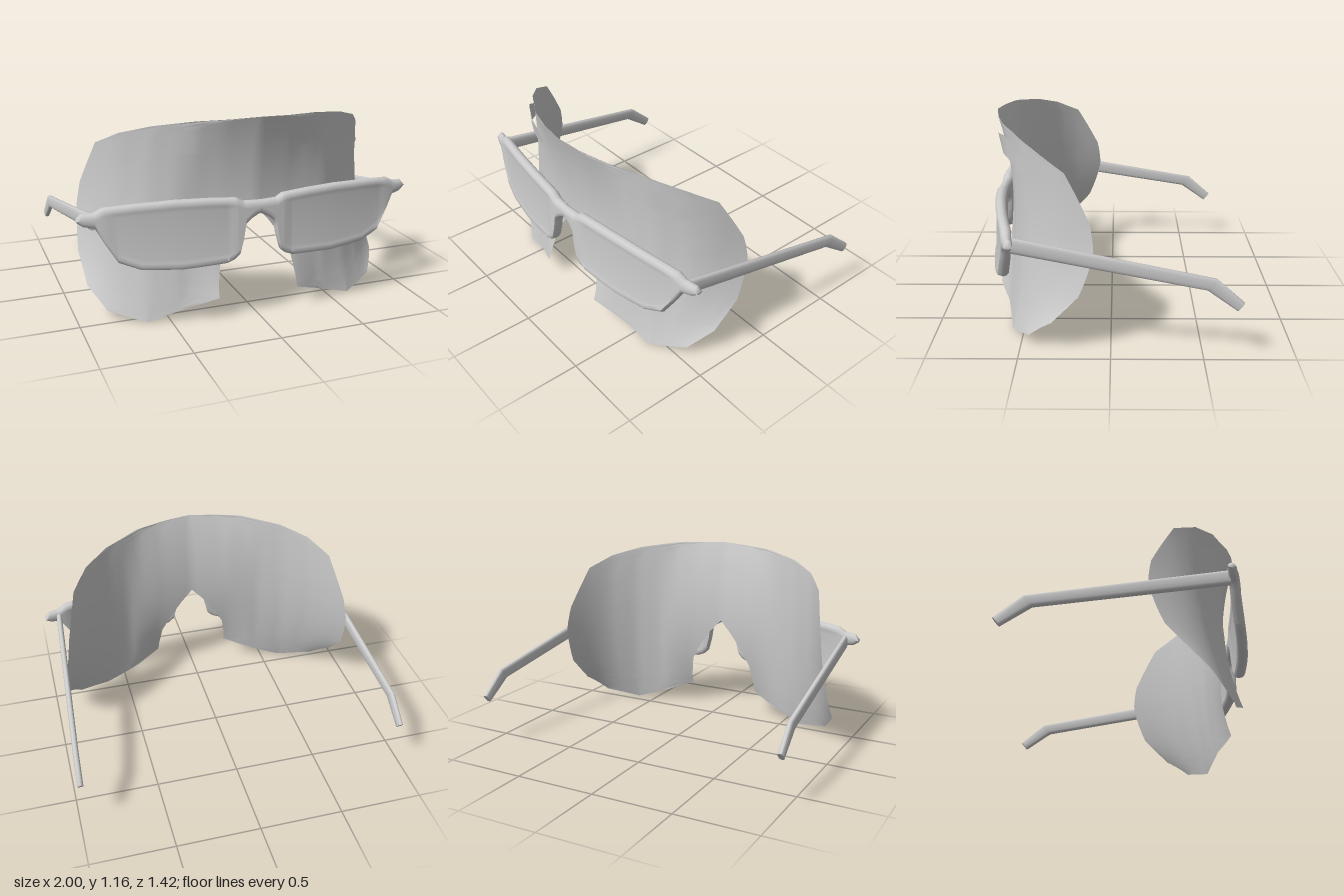
import * as THREE from 'three';
import { toCreasedNormals } from 'three/addons/utils/BufferGeometryUtils.js';

const solid = new THREE.MeshStandardMaterial({ color: 0xcccccc });
const sheet = new THREE.MeshStandardMaterial({ color: 0xcccccc, side: THREE.DoubleSide });

// Piecewise linear lookup in a table of [key, value] pairs
function lookup(table, k) {
  if (k <= table[0][0]) return table[0][1];
  for (let i = 1; i < table.length; i++) {
    const [k0, v0] = table[i - 1], [k1, v1] = table[i];
    if (k <= k1) return v0 + (v1 - v0) * (k - k0) / (k1 - k0);
  }
  return table[table.length - 1][1];
}

// Insert the midpoint between neighbouring values
const withMidpoints = keys => keys.flatMap((k, i) => i ? [(k + keys[i - 1]) / 2, k] : [k]);

// Surface through a grid of points; point(i, j) returns [x, y, z]
function grid(rows, cols, point) {
  const pos = [], idx = [];
  for (let i = 0; i < rows; i++) for (let j = 0; j < cols; j++) pos.push(...point(i, j));
  for (let i = 0; i < rows - 1; i++) for (let j = 0; j < cols - 1; j++) {
    const a = i * cols + j, b = a + 1, c = a + cols, d = c + 1;
    idx.push(a, b, d, a, d, c);
  }
  const g = new THREE.BufferGeometry();
  g.setAttribute('position', new THREE.Float32BufferAttribute(pos, 3));
  g.setIndex(idx);
  g.computeVertexNormals();
  return g;
}

// Add a part and its mirror image
function addPair(group, geometry, material, name) {
  for (const s of [1, -1]) {
    const m = new THREE.Mesh(geometry, material);
    m.name = (s > 0 ? 'left' : 'right') + name;
    m.scale.x = s;
    group.add(m);
  }
}

// Depth of the face sheet: cheek, eye and forehead curves, blended by a parabola in y
const cheek = [[0, .73], [.24, .71], [.4, .617], [.63, .555], [.83, .46], [.92, .43], [.93, .4]];
const eye = [[0, .62], [.2, .595], [.45, .552], [.6, .485], [.75, .365], [.82, .275], [.88, .165], [.915, .09], [.93, .06]];
const forehead = [[0, .675], [.2, .65], [.35, .61], [.57, .5], [.72, .385], [.82, .255], [.915, .09]];
function faceZ(x, y) {
  const t = (y - .05) / 1.05;
  return lookup(cheek, x) * (t - .5) * (t - 1) * 2 + lookup(eye, x) * t * (1 - t) * 4
    + lookup(forehead, x) * t * (t - .5) * 2;
}

function faceSheet() {
  const outer = [[0, .63], [.055, .83], [.17, .915], [.33, .93], [.57, .915], [.73, .89],
    [.985, .82], [1.06, .72], [1.11, .57], [1.145, .35], [1.16, 0]];
  const inner = [[0, .63], [.075, .4], [.135, .24], [.2, .237], [.33, .215], [.45, .15], [.55, .075], [.63, 0]];
  const ys = withMidpoints([0, .055, .075, .135, .17, .2, .33, .45, .55, .63, .73, .86, .985, 1.06, 1.11, 1.145, 1.16]);
  const g = grid(ys.length, 25, (i, j) => {
    const y = ys[i], x0 = lookup(inner, y), x1 = lookup(outer, y);
    const x = x0 + (x1 - x0) * j / 24;
    return [x, y, faceZ(x, y)];
  });
  // Shade smoothly across the middle, where the halves meet
  const { position, normal } = g.attributes;
  for (let i = 0; i < position.count; i++) if (position.getX(i) === 0) normal.setX(i, 0);
  return g;
}

function eyebrow() {
  const top = [[.235, 1.012], [.28, 1.085], [.44, 1.095], [.6, 1.045], [.745, .945], [.755, .9]];
  const low = [[.235, 1.008], [.27, .97], [.45, .97], [.6, .93], [.71, .875], [.755, .89]];
  return grid(4, 27, (i, j) => {
    const x = .235 + .52 * j / 26, y0 = lookup(low, x);
    const y = y0 + (lookup(top, x) - y0) * i / 3;
    return [x, y, faceZ(x, y) + .033];
  });
}

// Both lenses, bridge and hinge tabs as one loft of rounded sections from side to side
function frame() {
  const top = [[0, .69], [.1, .693], [.14, .715], [.3, .725], [.48, .728], [.7, .718], [.86, .704],
    [.91, .677], [.975, .672], [1, .645]];
  const low = [[0, .615], [.05, .588], [.09, .555], [.105, .46], [.125, .385], [.155, .36], [.2, .342], [.45, .33],
    [.67, .343], [.79, .39], [.86, .505], [.905, .59], [.965, .6], [1, .625]];
  const thickness = [[0, .055], [.2, .065], [.85, .06], [1, .045]];
  const hollow = [[.14, 0], [.19, .12], [.8, .12], [.86, 0]];

  // Section: distance in from the edge and depth, from the edge to the lens
  const side = [[0, 0], [.006, .3], [.022, .5], [.042, .46], [.065, .4]];
  const front = [...side.map(([d, w]) => [1, d, w]), ...side.map(([d, w]) => [-1, d, w]).reverse()];
  const ring = [...front, ...front.slice(1, -1).reverse().map(([s, d, w]) => [s, d, -w]), front[0]];

  const half = withMidpoints([...new Set([...top, ...low, ...hollow].map(p => p[0]))].sort((a, b) => a - b));
  const xs = [...half.slice(1).map(x => -x).reverse(), ...half];
  const rows = [[-1, 0], ...xs.map(x => [x, 1]), [1, 0]]; // size 0 closes the ends

  const g = grid(rows.length, ring.length, (i, j) => {
    const [x, size] = rows[i], [s, d, w] = ring[j], ax = Math.abs(x);
    const y1 = lookup(top, ax), y0 = lookup(low, ax), h = (y1 - y0) / 2;
    const y = (y1 + y0) / 2 + s * Math.max(h - d, 0) * size;
    const flat = Math.abs(w) < .5 && d > .03 ? .5 - lookup(hollow, ax) * d / .065 : Math.abs(w);
    const t = lookup(thickness, ax);
    const z = .705 - .15 * x * x - .05 * (y - .53) - t / 2;
    return [x, y, z + Math.sign(w) * flat * t * size];
  });
  return toCreasedNormals(g, 1);
}

function temple() {
  // Stations: x, top edge z and y, bottom edge z and y, size (0 closes an end)
  const stations = [
    [.91, .54, .662, .53, .572, 0], [.91, .54, .662, .53, .572, 1],
    [.968, -.56, .455, -.51, .39, 1],
    [.973, -.71, .322, -.672, .275, 1], [.973, -.71, .322, -.672, .275, 0]];
  const soft = v => Math.sign(v) * Math.pow(Math.abs(v), .7);
  const g = grid(stations.length, 17, (i, j) => {
    const [x, tz, ty, bz, by, size] = stations[i], a = j / 16 * Math.PI * 2;
    const c = soft(Math.cos(a)) * size / 2;
    return [x + soft(Math.sin(a)) * .017 * size, (ty + by) / 2 + (ty - by) * c, (tz + bz) / 2 + (tz - bz) * c];
  });
  return toCreasedNormals(g, .8);
}

export function createModel() {
  const model = new THREE.Group();
  model.name = 'spectaclesWithFaceSheet';

  const face = new THREE.Group();
  face.name = 'face';
  addPair(face, faceSheet(), sheet, 'FaceSheet');
  addPair(face, eyebrow(), sheet, 'Eyebrow');

  const glasses = new THREE.Group();
  glasses.name = 'glasses';
  const lenses = new THREE.Mesh(frame(), solid);
  lenses.name = 'frameAndLenses';
  glasses.add(lenses);
  addPair(glasses, temple(), solid, 'Temple');

  model.add(face, glasses);
  return model;
}
